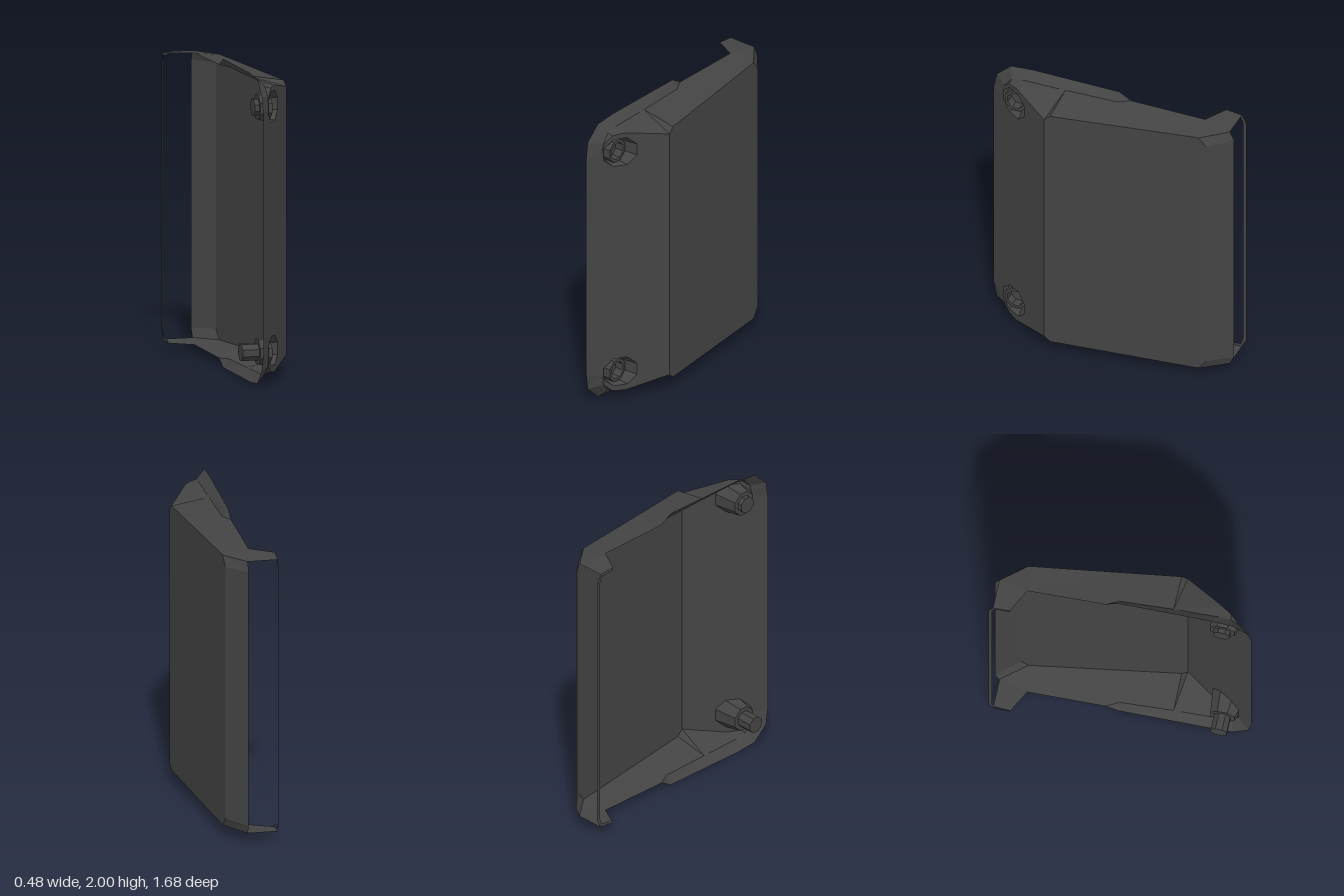
import * as THREE from 'three';

const material = new THREE.MeshStandardMaterial({ color: 0x444444, flatShading: true, side: THREE.DoubleSide });

// x of the two sloping panels at a given z
const panelX = z => (z > 0.36 ? (0.755 - z) * 0.6 : 0.237 - (0.36 - z) * 0.153);
const onPanel = ([z, y]) => [z, y, panelX(z)];

// Upper half outlines as [z, y, x], running from the front edge backwards
const panelEdge = [
  [0.755, 1], [0.755, 1.8], [0.74, 1.87], [0.69, 1.92], [0.62, 1.93], [0.36, 1.87],
  [0.32, 1.905], [-0.03, 1.912], [-0.11, 1.914], [-0.62, 1.925], [-0.65, 1.925],
].map(onPanel);
const wallBase = [
  [0.755, 1, 0], [0.755, 1.8, 0], [0.74, 1.87, 0.005], [0.69, 1.93, 0], [0.62, 1.945, 0],
  [0.36, 1.945, -0.01], [0.32, 1.945, -0.012], [-0.03, 1.945, -0.032], [-0.11, 1.95, -0.075],
  [-0.62, 1.945, -0.09], [-0.81, 1.93, -0.05],
];
const lipEdge = [
  [0.84, 1, -0.055], [0.84, 1.78, -0.055], [0.82, 1.89, -0.06], [0.72, 1.985, -0.06],
  [0.57, 2, -0.06], [0.36, 2, -0.063], [0.32, 2, -0.064], [-0.03, 2, -0.07], [-0.11, 1.95, -0.075],
];
const endTop = [[-0.65, 1.925], [-0.7, 1.86], [-0.7, 1]].map(onPanel);
const endBase = [[-0.81, 1.93, -0.05], [-0.84, 1.87, -0.05], [-0.84, 1, -0.05]];
const hookRoot = [[-0.62, 1.945, -0.09], [-0.81, 1.93, -0.05]];
const hookTip = [[-0.7, 1.94, -0.245], [-0.81, 1.93, -0.245]];
const railOuter = [[-0.7, 1.94, -0.245], [-0.81, 1.93, -0.245], [-0.84, 1.87, -0.245], [-0.84, 1, -0.245]];
const railInner = [[-0.7, 1.92, -0.245], [-0.8, 1.91, -0.245], [-0.815, 1.865, -0.245], [-0.815, 1, -0.245]];

function add(group, name, geometry) {
  const mesh = new THREE.Mesh(geometry, material);
  mesh.name = name;
  group.add(mesh);
  return mesh;
}

// Strip between two outlines, mirrored to the lower half
function strip(a, b) {
  const pos = [], index = [], n = a.length;
  for (const lower of [false, true]) {
    const base = pos.length / 3;
    for (const [z, y, x] of [...a, ...b]) pos.push(x, lower ? 2 - y : y, z);
    for (let i = 0; i < n - 1; i++) {
      const p = base + i, q = p + n;
      if (lower) index.push(p, p + 1, q, q, p + 1, q + 1);
      else index.push(p, q, p + 1, q, q + 1, p + 1);
    }
  }
  const g = new THREE.BufferGeometry();
  g.setAttribute('position', new THREE.Float32BufferAttribute(pos, 3));
  g.setIndex(index);
  g.computeVertexNormals();
  return g;
}

const octagon = (cz, cy, r) => Array.from({ length: 8 }, (_, i) => {
  const t = Math.PI / 8 + i * Math.PI / 4;
  return [cz + r * Math.cos(t), cy + r * Math.sin(t)];
});

// Flat panel from an upper outline and its mirror, laid on the slope
function panel(half, holes = []) {
  const outline = [...half, ...half.map(([z, y]) => [z, 2 - y]).reverse()];
  const toVec = ([z, y]) => new THREE.Vector2(-z, y);
  const shape = new THREE.Shape(outline.map(toVec));
  for (const h of holes) shape.holes.push(new THREE.Path(h.map(toVec)));
  const g = new THREE.ShapeGeometry(shape);
  const p = g.attributes.position;
  for (let i = 0; i < p.count; i++) {
    const z = -p.getX(i);
    p.setXYZ(i, panelX(z), p.getY(i), z);
  }
  g.computeVertexNormals();
  return g;
}

// Octagonal turned part along x, profile given as [radius, x]
function turned(profile) {
  const g = new THREE.LatheGeometry(profile.map(([r, x]) => new THREE.Vector2(r, x)), 8, Math.PI / 8);
  return g.rotateZ(-Math.PI / 2);
}

// Tapered recess from the sloping panel down to a flat floor ring
function recess(cz, cy) {
  const rim = octagon(cz, cy, 0.105), floor = octagon(cz, cy, 0.085);
  const pos = [], index = [];
  for (let i = 0; i < 8; i++) {
    pos.push(panelX(rim[i][0]), rim[i][1], rim[i][0], -0.04, floor[i][1], floor[i][0]);
    const a = 2 * i, b = 2 * ((i + 1) % 8);
    index.push(a, a + 1, b, b, a + 1, b + 1);
  }
  const g = new THREE.BufferGeometry();
  g.setAttribute('position', new THREE.Float32BufferAttribute(pos, 3));
  g.setIndex(index);
  g.computeVertexNormals();
  return g;
}

export function createModel() {
  const group = new THREE.Group();
  group.name = 'coverPanel';

  // Sloping faces
  const fastenerZ = 0.645, fastenerYs = [0.21, 1.795];
  const holes = fastenerYs.map(y => octagon(fastenerZ, y, 0.105));
  add(group, 'frontPanel', panel(panelEdge.slice(1, 6), holes));
  add(group, 'mainPanel', panel([...panelEdge.slice(5), endTop[1]]));

  // Rim, walls and rear end
  add(group, 'sideWalls', strip(wallBase, panelEdge));
  add(group, 'flaredLip', strip(lipEdge, wallBase.slice(0, lipEdge.length)));
  add(group, 'rearEnd', strip(endBase, endTop));

  // Hooks joined by a thin rail
  add(group, 'hooks', strip(hookTip, hookRoot));
  add(group, 'rearRail', strip(railOuter, railInner));

  // Fasteners: recess, collar and pin; the lower pin is longer
  fastenerYs.forEach((y, i) => {
    const end = i === 0 ? -0.15 : -0.07;
    add(group, 'recess', recess(fastenerZ, y));
    const pin = add(group, 'pin', turned([[0, end], [0.057, end], [0.057, -0.04], [0.085, -0.04]]));
    const collar = add(group, 'collar', turned([[0.08, -0.04], [0.08, 0.04], [0.06, 0.04], [0.06, -0.02], [0, -0.02]]));
    for (const m of [pin, collar]) m.position.set(0, y, fastenerZ);
  });
  return group;
}
